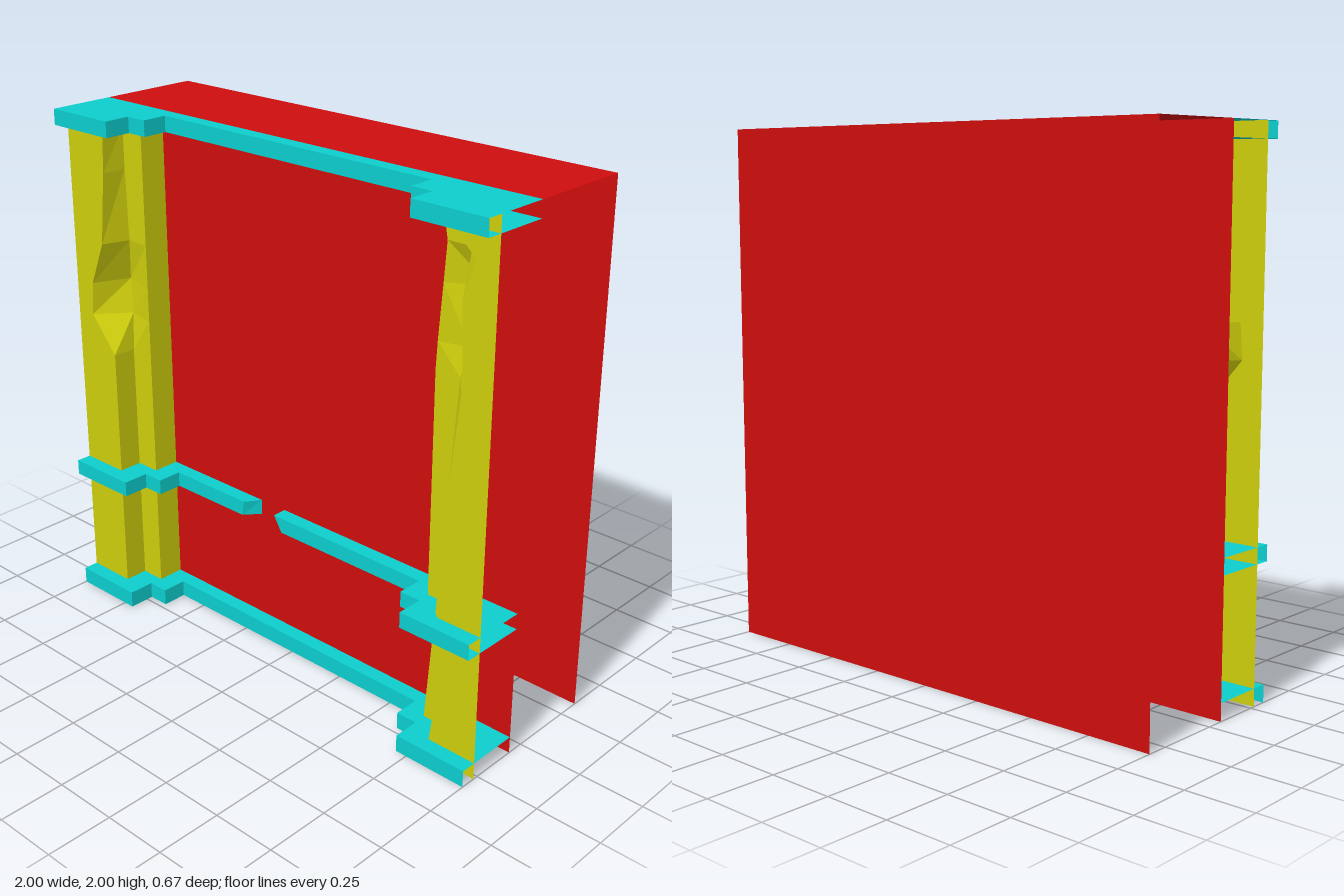
import * as THREE from 'three';

const paint = (color) => new THREE.MeshStandardMaterial({ color, side: THREE.DoubleSide, flatShading: true });
const red = paint(0xcc0d0d), yellow = paint(0xcccc0d), cyan = paint(0x0dcccc);

const BACK = -0.335, WALL = 0.067;

function add(parent, name, geometry, material) {
  const mesh = new THREE.Mesh(geometry, material);
  mesh.name = name;
  parent.add(mesh);
  return mesh;
}

// Faceted surface through rows of [x, y, z] points
function loft(rows, flip = false) {
  const pos = [];
  for (let i = 0; i < rows.length - 1; i++) {
    for (let j = 0; j < rows[i].length - 1; j++) {
      const a = rows[i][j], b = rows[i][j + 1], c = rows[i + 1][j + 1], d = rows[i + 1][j];
      pos.push(...(flip ? [a, c, b, a, d, c] : [a, b, c, a, c, d]).flat());
    }
  }
  const g = new THREE.BufferGeometry();
  g.setAttribute('position', new THREE.Float32BufferAttribute(pos, 3));
  g.computeVertexNormals();
  return g;
}

// Stepped pillar, open at its outer end.
// Row: height, front edge x, inner corner x and z, step edge x, wall edge x
function pillar(side, rows) {
  const sections = rows.map(([y, front = 0.8, cornerX = 0.8, cornerZ = 0.175, step = 0.7, wall = 0.7]) =>
    [[1, 0.27], [front, 0.27], [cornerX, cornerZ], [step, 0.175], [wall, WALL]]
      .map(([x, z]) => [side * x, y, z]));
  return loft(sections, side > 0);
}

// Ledge following a plan of [x, z] points, open at the back and ends
function trim(parent, name, plan, y0, y1, { top = true, bottom = true, lowPlan = plan } = {}) {
  const group = new THREE.Group();
  group.name = name;
  parent.add(group);
  add(group, 'trimFront', loft([lowPlan.map(([x, z]) => [x, y0, z]), plan.map(([x, z]) => [x, y1, z])]), cyan);
  const cap = (pts, y, up) => {
    const s = up ? -1 : 1;
    const outline = [[pts[0][0], WALL], ...pts, [pts[pts.length - 1][0], WALL]];
    const g = new THREE.ShapeGeometry(new THREE.Shape(outline.map(([x, z]) => new THREE.Vector2(x, s * z))));
    g.rotateX(s * Math.PI / 2).translate(0, y, 0);
    add(group, up ? 'trimTop' : 'trimUnderside', g, cyan);
  };
  if (top) cap(plan, y1, true);
  if (bottom) cap(lowPlan, y0, false);
}

export function createModel() {
  const model = new THREE.Group();
  model.name = 'damagedWallSection';

  // Wall shell: two panels and a top, open below and at the ends
  add(model, 'frontPanel', new THREE.PlaneGeometry(2, 2).translate(0, 1, WALL), red);
  add(model, 'backPanel', new THREE.PlaneGeometry(2, 2).rotateY(Math.PI).translate(0, 1, BACK), red);
  add(model, 'wallTop', new THREE.PlaneGeometry(2, WALL - BACK).rotateX(-Math.PI / 2)
    .translate(0, 2, (WALL + BACK) / 2), red);

  // Right pillar with one chipped hollow
  add(model, 'rightPillar', pillar(-1, [
    [0], [1.06],
    [1.2, 0.92, 0.82, 0.15],
    [1.33, 0.91, 0.85, 0.13],
    [1.5, 0.84, 0.805, 0.165],
    [1.78, 0.81], [1.94], [2],
  ]), yellow);

  // Left pillar, worn along its whole height
  add(model, 'leftPillar', pillar(1, [
    [0], [0.06],
    [0.44, 0.85, 0.81, 0.175, 0.73, 0.665],
    [0.5, 0.86, 0.81, 0.175, 0.72, 0.67],
    [0.58, 0.81, 0.8, 0.175, 0.7, 0.69],
    [0.86, 0.83, 0.8, 0.175, 0.7, 0.695],
    [0.93, 0.865, 0.81],
    [1.07, 0.845, 0.835],
    [1.4, 0.88, 0.8, 0.175, 0.7],
    [1.5, 0.88, 0.82, 0.155, 0.705],
    [1.7, 0.87, 0.85, 0.105, 0.72],
    [1.84, 0.915, 0.825, 0.172, 0.73],
    [1.94, 0.81, 0.8, 0.175, 0.71], [2],
  ]), yellow);

  // Ledges wrap around both pillars
  const rightEnd = [[-1, 0.33], [-0.705, 0.33], [-0.705, 0.225], [-0.62, 0.225], [-0.62, 0.125]];
  const leftEnd = rightEnd.map(([x, z]) => [-x, z]).reverse();
  const fullPlan = [...rightEnd, ...leftEnd];
  trim(model, 'bottomTrim', fullPlan, 0, 0.065, { bottom: false });
  trim(model, 'topTrim', fullPlan, 1.94, 2);

  // Middle ledge, broken through with slanted ends
  trim(model, 'middleTrimRight', [...rightEnd, [-0.25, 0.125], [-0.21, WALL]], 0.505, 0.565,
    { lowPlan: [...rightEnd, [-0.26, 0.125], [-0.21, WALL]] });
  trim(model, 'middleTrimLeft', [[-0.09, WALL], [-0.088, 0.125], ...leftEnd], 0.505, 0.565,
    { lowPlan: [[-0.09, WALL], [-0.05, 0.125], ...leftEnd] });

  return model;
}
